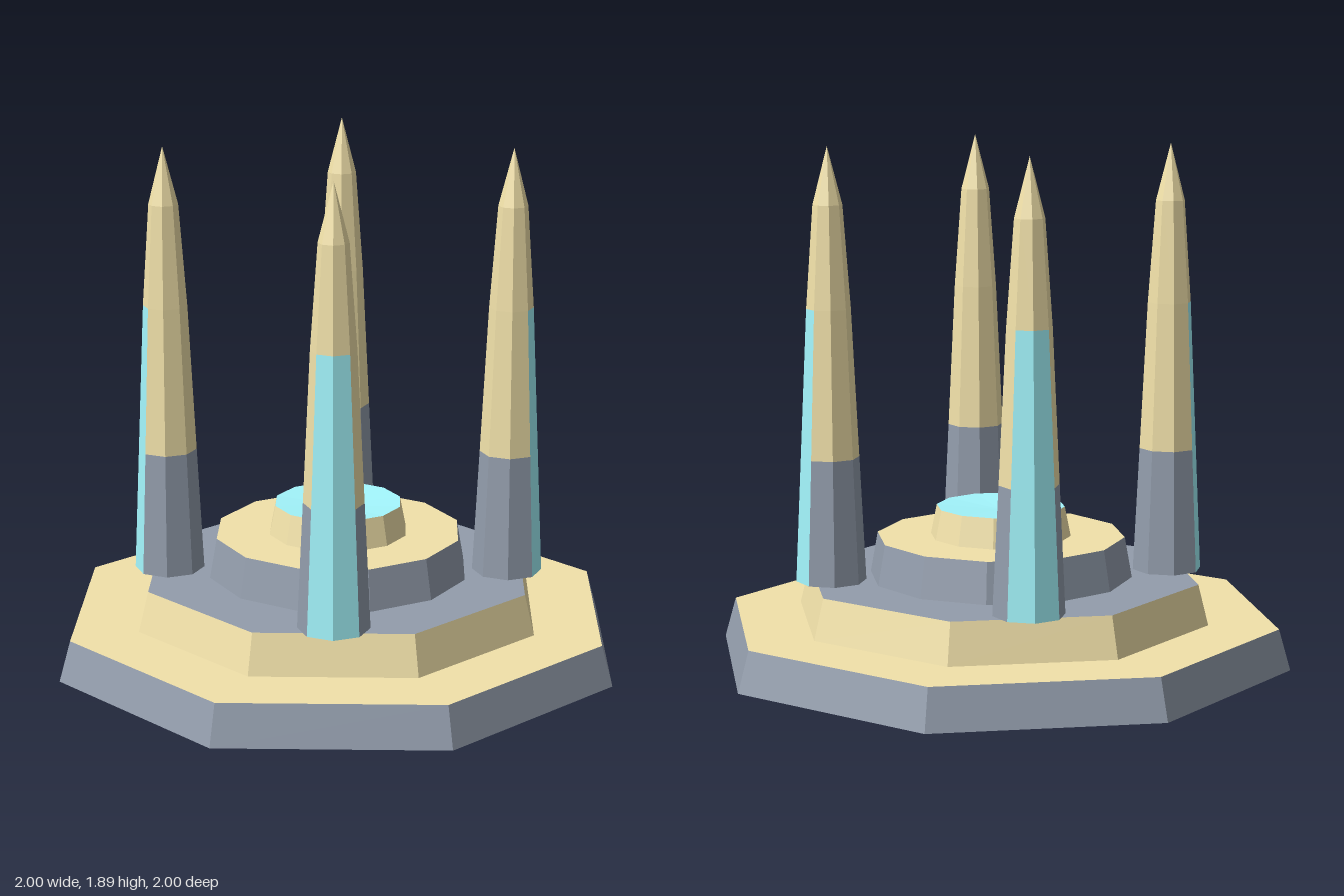
import * as THREE from 'three';

const material = (color) =>
  new THREE.MeshStandardMaterial({ color, flatShading: true, side: THREE.DoubleSide });

export function createModel() {
  const model = new THREE.Group();
  const slate = material(0x939dac);
  const sand = material(0xf2e2aa);
  const cyan = material(0xa3f6fd);

  const add = (parent, name, geometry, mat) => {
    const mesh = new THREE.Mesh(geometry, mat);
    mesh.name = name;
    parent.add(mesh);
  };

  // Tapered platform, open below: walls in one colour, top in another.
  // The top is a fan whose centre may be sunk by dip.
  function tier(name, sides, start, r0, r1, y0, y1, wallMat, topMat, dip = 0) {
    const group = new THREE.Group();
    group.name = name;
    const wall = new THREE.CylinderGeometry(r1, r0, y1 - y0, sides, 1, true, start);
    add(group, name + 'Wall', wall.translate(0, (y0 + y1) / 2, 0), wallMat);
    const top = new THREE.ConeGeometry(r1, -dip, sides, 1, true, start);
    add(group, name + 'Top', top.translate(0, y1 - dip / 2, 0), topMat);
    model.add(group);
  }

  // Octagons are given by their apothem, with flat sides on the axes
  const k = 1 / Math.cos(Math.PI / 8);
  const eighth = Math.PI / 8;
  tier('base', 8, eighth, k, 0.96 * k, 0, 0.15, slate, sand);
  tier('step', 8, eighth, 0.72 * k, 0.685 * k, 0.15, 0.3, sand, slate);
  tier('dais', 12, 0, 0.487, 0.46, 0.3, 0.45, slate, sand);
  tier('basin', 12, 0, 0.26, 0.238, 0.45, 0.56, sand, cyan, 0.015);

  // Spire outline, split where the colours change
  const foot = [[0.129, 0.3], [0.107, 0.76]];
  const shaft = [[0.107, 0.76], [0.081, 1.305]];
  const tip = [[0.081, 1.305], [0.054, 1.68], [0, 1.89]];
  const lathe = (profile, sides, start) =>
    new THREE.LatheGeometry(profile.map(([r, y]) => new THREE.Vector2(r, y)),
      sides, start, sides * Math.PI / 4);

  // Four hollow corner spires with two glowing faces turned outward
  for (const sx of [-1, 1]) {
    for (const sz of [-1, 1]) {
      const spire = new THREE.Group();
      spire.name = (sz > 0 ? 'front' : 'back') + (sx > 0 ? 'Left' : 'Right') + 'Spire';
      spire.position.set(0.445 * sx, 0, 0.445 * sz);
      const outward = Math.atan2(sx, sz);
      const inner = outward + Math.PI / 4;
      add(spire, 'spireFoot', lathe(foot, 6, inner), slate);
      add(spire, 'spireShaft', lathe(shaft, 6, inner), sand);
      add(spire, 'spirePanel', lathe([foot[0], foot[1], shaft[1]], 2, outward - Math.PI / 4), cyan);
      add(spire, 'spireTip', lathe(tip, 8, 0), sand);
      model.add(spire);
    }
  }
  return model;
}
